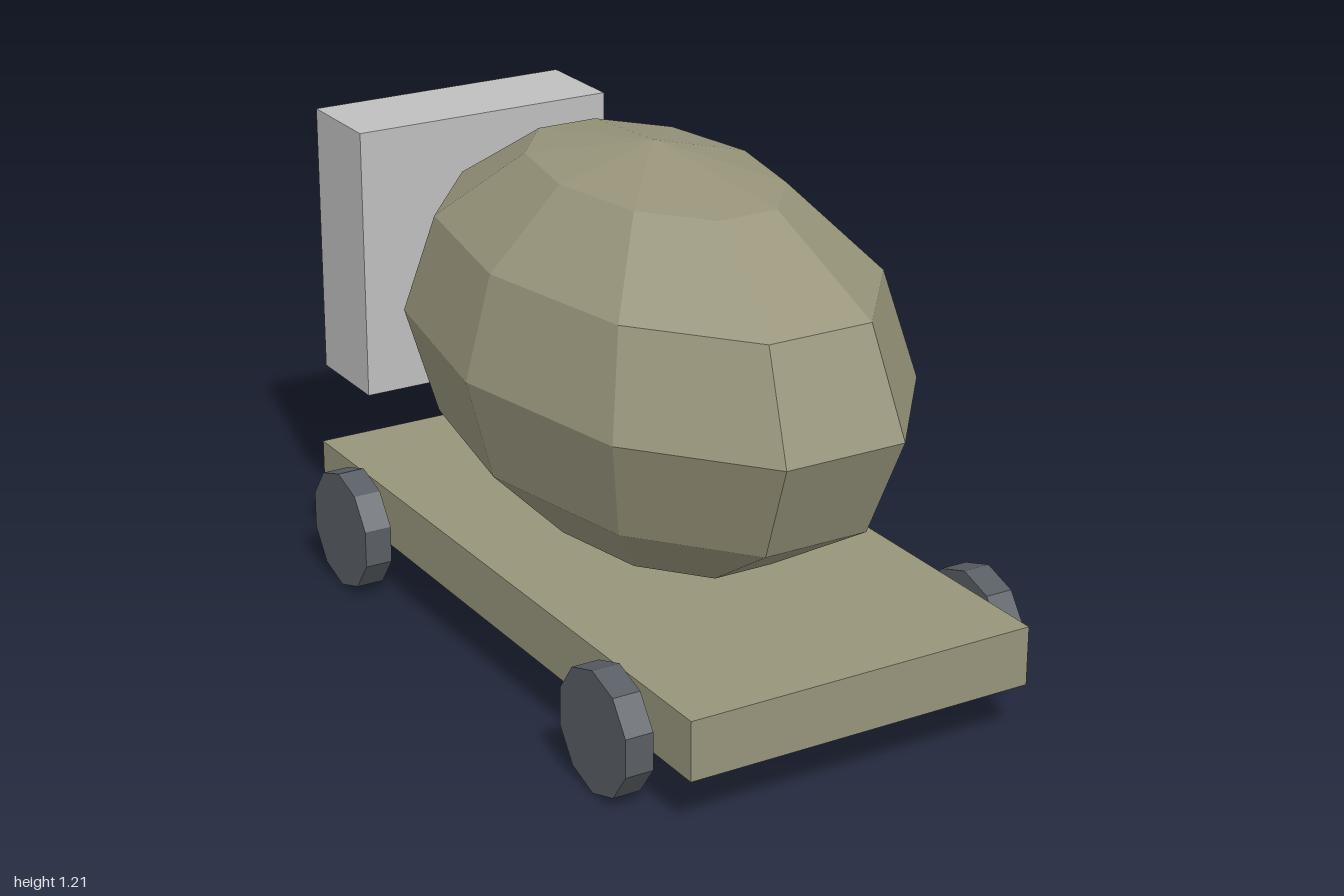
import * as THREE from 'three';

export function createModel() {
  const flat = (name, color) => {
    const m = new THREE.MeshStandardMaterial({ color, flatShading: true });
    m.name = name;
    return m;
  };
  const khaki = flat('khaki', 0x97947a);
  const grey = flat('light grey', 0xbfbfbf);
  const rubber = flat('dark slate', 0x595e64);

  // The whole cart is turned so its long axis runs diagonally
  const cart = new THREE.Group();
  cart.name = 'cart';
  cart.position.set(0.04, 0, 0.005);
  cart.rotation.y = -0.609;

  const add = (name, geometry, material, x, y, z) => {
    const mesh = new THREE.Mesh(geometry, material);
    mesh.name = name;
    mesh.position.set(x, y, z);
    cart.add(mesh);
    return mesh;
  };

  // Flat bed
  add('bed', new THREE.BoxGeometry(1.73, 0.14, 0.86), khaki, 0, 0.195, 0);

  // Faceted egg-shaped drum, with ring corners on the cross axis
  const drum = new THREE.SphereGeometry(0.48, 10, 6);
  drum.rotateY(Math.PI / 2).scale(1.7, 1, 1);
  add('drum', drum, khaki, 0, 0.725, 0);

  // Upright block at the end of the bed
  add('cabBlock', new THREE.BoxGeometry(0.24, 0.67, 0.67), grey, -0.915, 0.725, 0);

  // Four ten-sided wheels
  const wheel = new THREE.CylinderGeometry(0.145, 0.145, 0.067, 10);
  wheel.rotateX(Math.PI / 2);
  for (const x of [-0.605, 0.605]) {
    for (const z of [-0.48, 0.48]) add('wheel', wheel, rubber, x, 0.145, z);
  }

  const model = new THREE.Group();
  model.name = 'model';
  model.add(cart);
  return model;
}
